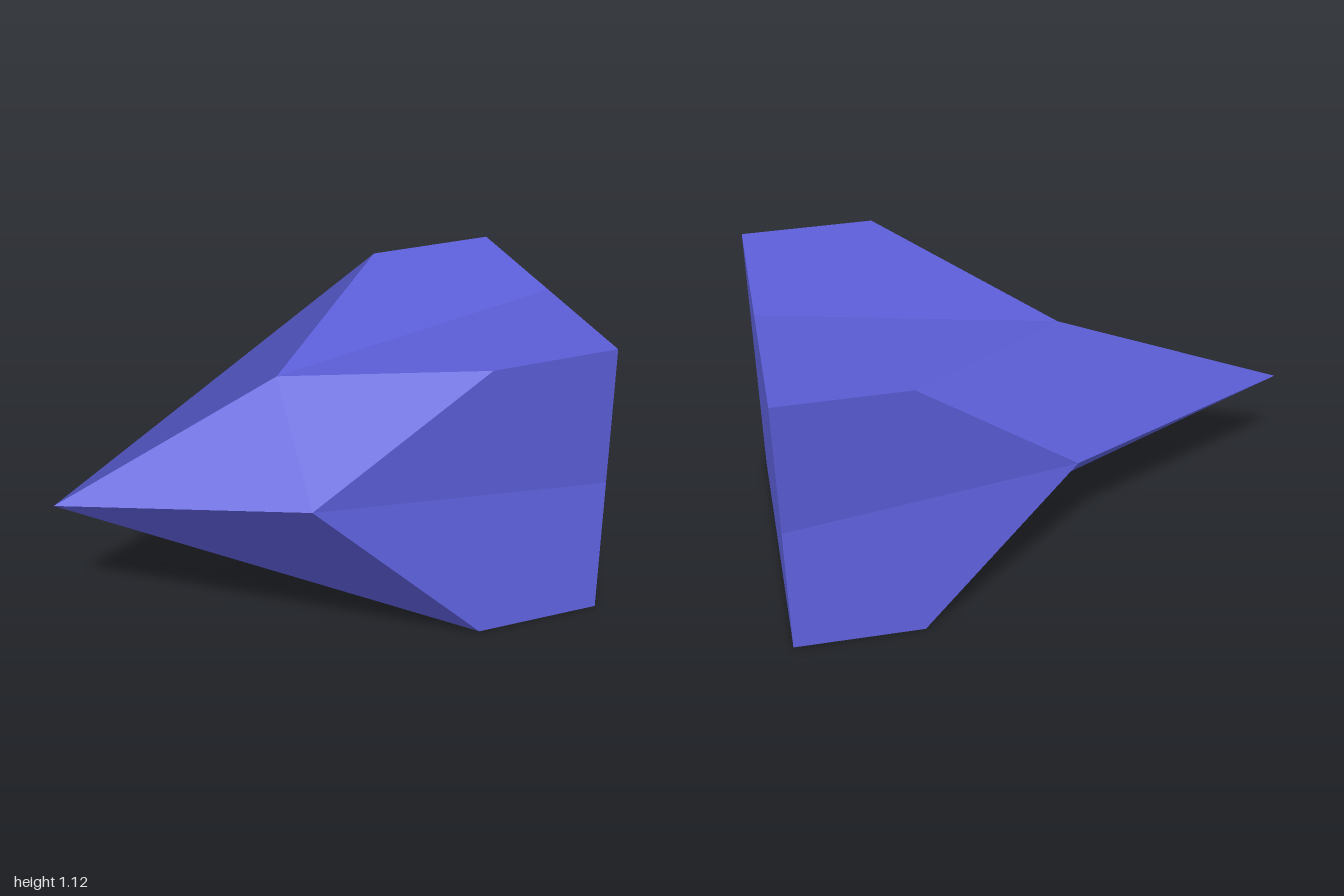
import * as THREE from 'three';

const R = 0.5615; // half width of the square base
const M = 0.382;  // offset of the mid-edge points around the nose
const BASE_X = 1, CORNER_X = 0.5, MID_X = -0.12, TIP_X = -1;

// Faceted geometry from quads, each split from its first to its third corner
// and shaded with one normal for the whole quad.
function quadGeometry(quads) {
  const pos = [], nor = [];
  for (const [a, b, c, d] of quads) {
    const n = c.clone().sub(a).cross(d.clone().sub(b)).normalize();
    for (const p of [a, b, c, a, c, d]) {
      pos.push(p.x, p.y, p.z);
      nor.push(n.x, n.y, n.z);
    }
  }
  const g = new THREE.BufferGeometry();
  g.setAttribute('position', new THREE.Float32BufferAttribute(pos, 3));
  g.setAttribute('normal', new THREE.Float32BufferAttribute(nor, 3));
  return g;
}

// Point of the nose grid; sy and sz are -1, 0 or 1
function nosePoint(sy, sz) {
  const n = Math.abs(sy) + Math.abs(sz);
  const x = [TIP_X, MID_X, CORNER_X][n];
  const r = n === 2 ? R : M;
  return new THREE.Vector3(x, sy * r, sz * r);
}

const basePoint = (sy, sz) => new THREE.Vector3(BASE_X, sy * R, sz * R);

export function createModel() {
  const group = new THREE.Group();
  const blue = new THREE.MeshStandardMaterial({ color: 0x5c5ed8 });
  blue.name = 'blue';

  const add = (name, quads) => {
    const mesh = new THREE.Mesh(quadGeometry(quads), blue);
    mesh.name = name;
    mesh.position.y = R;
    group.add(mesh);
    return mesh;
  };

  // Pointed nose and flat base, both as two by two grids
  const nose = [], base = [];
  for (const y of [1, 0]) {
    for (const z of [-1, 0]) {
      nose.push([nosePoint(y, z), nosePoint(y - 1, z), nosePoint(y - 1, z + 1), nosePoint(y, z + 1)]);
      base.push([basePoint(y, z), basePoint(y, z + 1), basePoint(y - 1, z + 1), basePoint(y - 1, z)]);
    }
  }
  add('nose', nose);
  add('base', base);

  // Four identical side panels, each with a shallow centre groove
  const panel = [-1, 0].map((z) => [
    nosePoint(1, z), nosePoint(1, z + 1), basePoint(1, z + 1), basePoint(1, z),
  ]);
  ['topSide', 'frontSide', 'bottomSide', 'backSide'].forEach((name, i) => {
    add(name, panel).rotation.x = i * Math.PI / 2;
  });
  return group;
}
